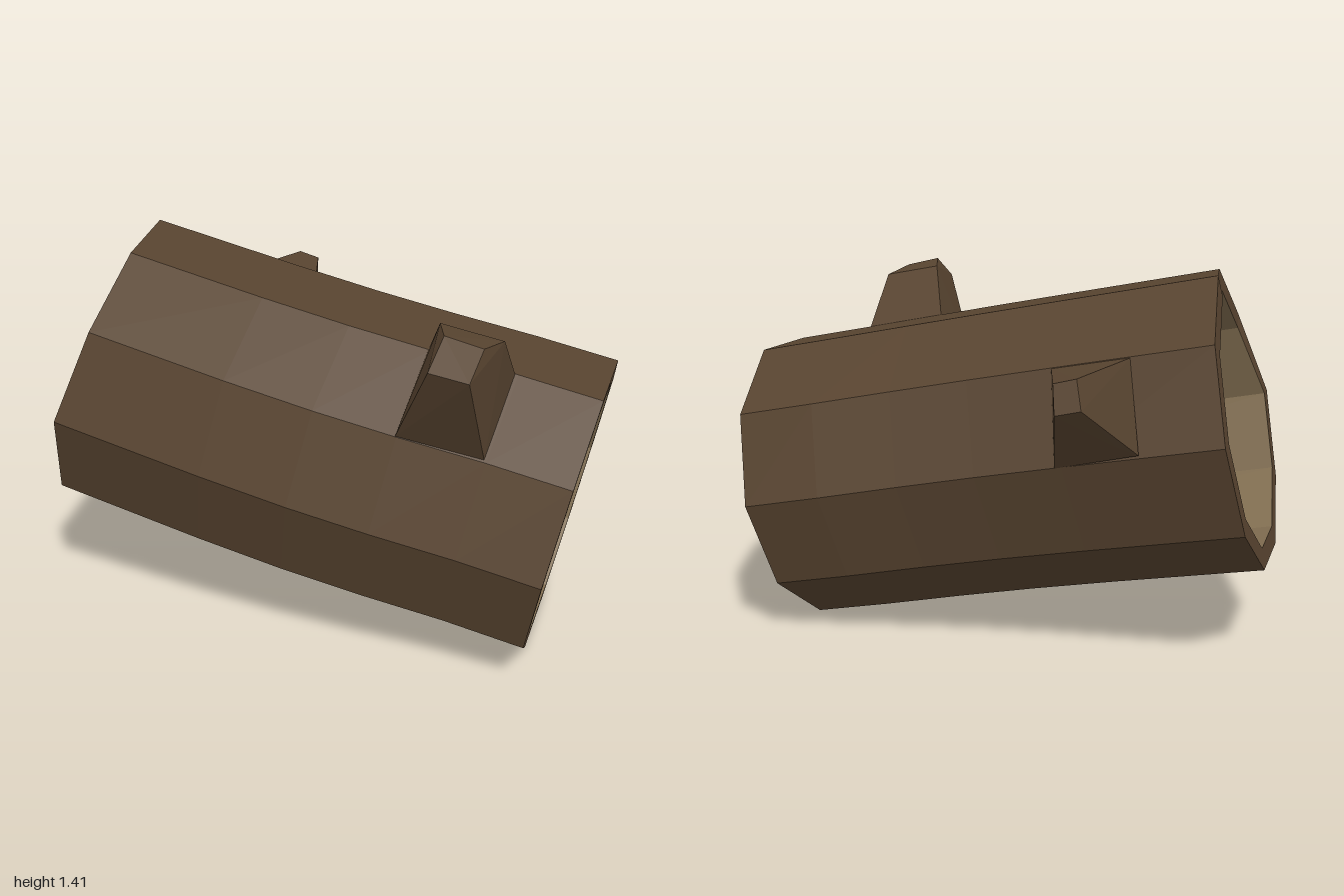
import * as THREE from 'three';
import { ConvexGeometry } from 'three/addons/geometries/ConvexGeometry.js';

const SIDES = 10;
const HALF = 0.91;

// one ten-sided ring across the log: position along the axis, radius, sideways bend
function ring(s, radius, bend = 0) {
  return Array.from({ length: SIDES }, (_, i) => {
    const a = ((i + 0.5) / SIDES) * Math.PI * 2;
    // the upper front corner of the far end is broken back a little
    const chip = s === -HALF && i < 2 ? 0.05 : 0;
    return [s + chip, radius * Math.cos(a), radius * Math.sin(a) + bend];
  });
}

// faceted skin through successive rings
function skin(rings) {
  const pos = [];
  for (let r = 0; r < rings.length - 1; r++) {
    for (let i = 0; i < SIDES; i++) {
      const j = (i + 1) % SIDES;
      const [a, b] = [rings[r][i], rings[r][j]];
      const [c, d] = [rings[r + 1][j], rings[r + 1][i]];
      pos.push(...a, ...b, ...d, ...b, ...c, ...d);
    }
  }
  const geo = new THREE.BufferGeometry();
  geo.setAttribute('position', new THREE.Float32BufferAttribute(pos, 3));
  geo.computeVertexNormals();
  return geo;
}

export function createModel() {
  const model = new THREE.Group();
  model.name = 'hollowLog';
  const bark = new THREE.MeshStandardMaterial({ color: 0x584430, flatShading: true });
  const wood = new THREE.MeshStandardMaterial({ color: 0x806d50, flatShading: true });

  function add(parent, name, geometry, material) {
    const mesh = new THREE.Mesh(geometry, material);
    mesh.name = name;
    parent.add(mesh);
  }

  // tilted hollow trunk
  const trunk = new THREE.Group();
  trunk.name = 'trunk';
  trunk.position.set(0, 0.703, 0.08);
  trunk.rotation.z = -0.1905;
  model.add(trunk);

  const R = 0.57, r = 0.49;
  const bends = [[-HALF, 0], [-0.33, 0.028], [0, 0.034], [0.3, 0.025], [0.61, 0.004], [HALF, 0]];
  add(trunk, 'bark', skin(bends.map(([s, b]) => ring(s, R, b))), bark);
  add(trunk, 'rightRim', skin([ring(-HALF, r), ring(-HALF, R)]), bark);
  add(trunk, 'leftRim', skin([ring(HALF, R), ring(HALF, r)]), bark);
  add(trunk, 'hollow', skin([ring(HALF, r), ring(-HALF, r)]), wood);

  // branch stubs: base corners, then the cut tip
  const stub = (name, points) =>
    add(model, name, new ConvexGeometry(points.map((p) => new THREE.Vector3(...p))), bark);

  stub('frontBranch', [
    [0.355, 0.98, 0.57], [0.655, 0.925, 0.54], [0.69, 1.12, 0.26], [0.385, 1.175, 0.275],
    [0.5, 1.3, 0.725], [0.635, 1.28, 0.725],
    [0.52, 1.38, 0.605], [0.65, 1.35, 0.6],
    [0.47, 1.36, 0.46], [0.685, 1.32, 0.45],
  ]);
  stub('backBranch', [
    [-0.25, 1.09, -0.335], [-0.54, 1.145, -0.37], [-0.3, 0.76, -0.465], [-0.6, 0.83, -0.48],
    [-0.535, 0.87, -0.545],
    [-0.435, 1.12, -0.69], [-0.355, 1.1, -0.69],
    [-0.46, 1.02, -0.725], [-0.37, 1.0, -0.725],
  ]);

  return model;
}
